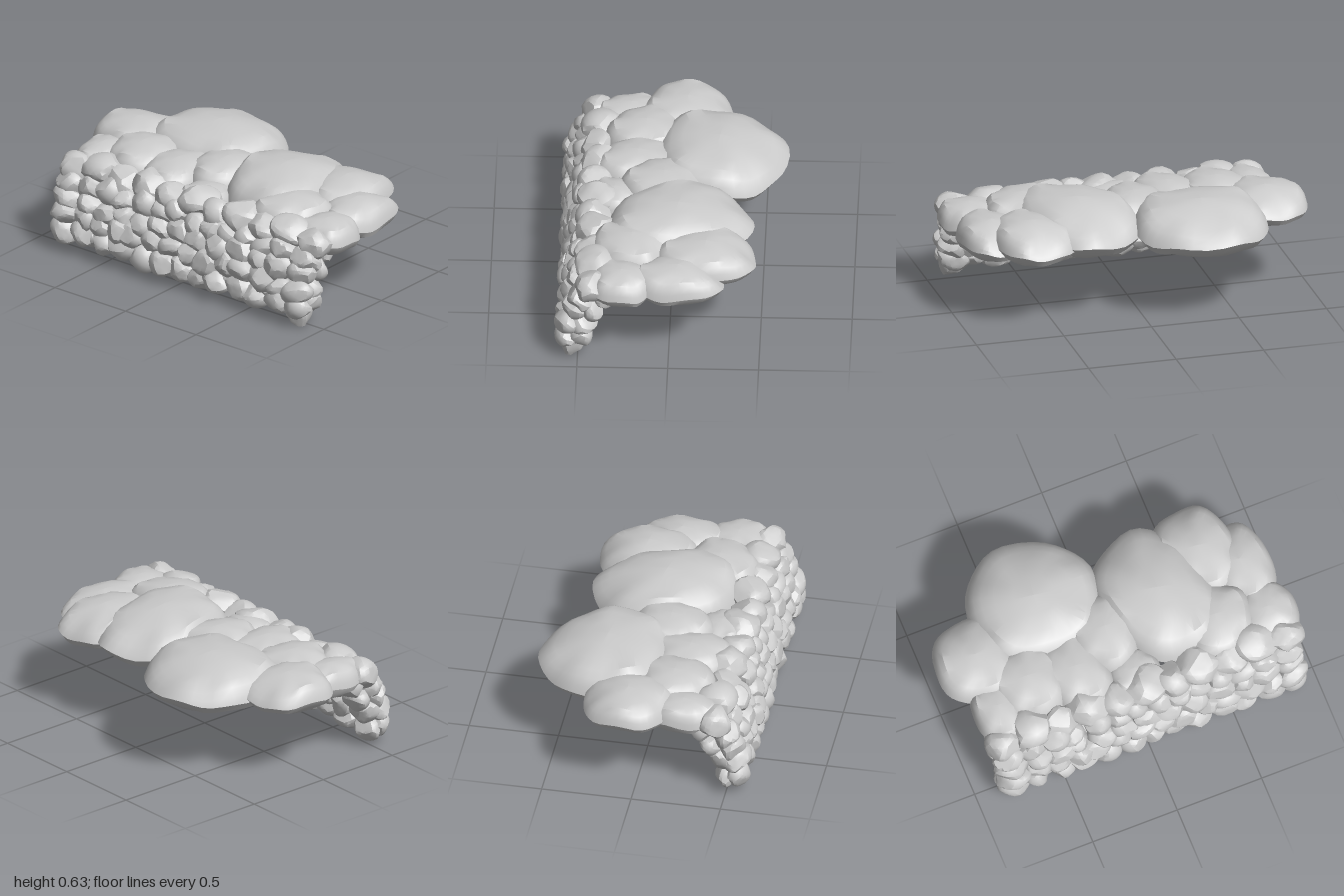
import * as THREE from 'three';
import { toCreasedNormals } from 'three/addons/utils/BufferGeometryUtils.js';

const material = new THREE.MeshStandardMaterial({ color: 0xcccccc });

let seed = 41;
function rnd(a, b) {
  seed = (seed * 16807) % 2147483647;
  return a + (b - a) * (seed / 2147483647);
}

// Boulder: a ball cut flat by random planes, then stretched to half sizes sx, sy, sz
function stone(name, x, y, z, sx, sy, sz) {
  const geo = new THREE.IcosahedronGeometry(1, 3);
  const planes = [];
  for (let i = 0; i < 11; i++) {
    planes.push([new THREE.Vector3(rnd(-1, 1), rnd(-1, 1), rnd(-1, 1)).normalize(), rnd(0.74, 0.9)]);
  }
  const p = geo.attributes.position, v = new THREE.Vector3();
  for (let i = 0; i < p.count; i++) {
    v.fromBufferAttribute(p, i).normalize();
    let r = 1;
    for (const [n, d] of planes) r = Math.min(r, d / Math.max(v.dot(n), 0.01));
    p.setXYZ(i, v.x * r * sx, v.y * r * sy, v.z * r * sz);
  }
  const mesh = new THREE.Mesh(toCreasedNormals(geo, 0.45), material);
  mesh.name = name;
  mesh.position.set(x, y, z);
  mesh.rotation.set(rnd(-0.4, 0.4), rnd(-0.2, 0.2), rnd(-0.15, 0.15));
  return mesh;
}

// Slab cross-section: [outline scale, height fraction] from underside to crown
const RIM = 0.36;
const SECTION = [
  [0.001, 0], [0.5, 0.02], [0.74, 0.07], [0.91, 0.19], [1, RIM], [0.96, 0.55],
  [0.88, 0.72], [0.77, 0.84], [0.58, 0.92], [0.3, 0.98], [0.001, 1],
];

// Flat slab: a turned, slightly lobed superellipse lofted through the section;
// outer slabs slope down towards their free +x edge
function slab(name, x, z, rx, rz, turn, y0, y1) {
  const N = 36, phase = rnd(0, 6), sag = x > 0 ? 0.65 : 0;
  const round = (t) => Math.sign(t) * Math.abs(t) ** 0.86;
  const pos = [], index = [];
  SECTION.forEach(([s, h], j) => {
    const wobble = j > 2 && j < 8 ? 0.07 : 0;
    for (let i = 0; i < N; i++) {
      const a = (i / N) * Math.PI * 2;
      const lobe = s * (1 + 0.02 * Math.sin(3 * a + phase) + 0.015 * Math.sin(5 * a + phase));
      const u = rx * lobe * round(Math.cos(a)), w = rz * lobe * round(Math.sin(a));
      const dx = u * Math.cos(turn) - w * Math.sin(turn);
      const k = wobble * (Math.sin(3 * a + phase) * 0.6 + Math.sin(7 * a + 2 * phase) * 0.4);
      const drop = Math.max(h - RIM, 0) * sag * Math.max(dx / rx, 0) ** 2;
      pos.push(x + dx, y0 + (y1 - y0) * (h + k - drop), z + u * Math.sin(turn) + w * Math.cos(turn));
      if (j < SECTION.length - 1) {
        const a0 = j * N + i, b0 = j * N + (i + 1) % N;
        index.push(a0, a0 + N, b0, b0, a0 + N, b0 + N);
      }
    }
  });
  const geo = new THREE.BufferGeometry();
  geo.setAttribute('position', new THREE.Float32BufferAttribute(pos, 3));
  geo.setIndex(index);
  const mesh = new THREE.Mesh(toCreasedNormals(geo, 0.5), material);
  mesh.name = name;
  return mesh;
}

// Slabs: name, centre x, centre z, half width, half depth, turn, bottom, top
const SLABS = [
  ['backSlab', 0.06, -0.77, 0.25, 0.23, 0.1, 0.41, 0.6],
  ['largeSlab', 0.25, -0.35, 0.365, 0.375, 0.15, 0.375, 0.635],
  ['middleSlab', 0.04, 0.3, 0.41, 0.31, -0.3, 0.37, 0.635],
  ['cornerSlab', 0.2, 0.6, 0.28, 0.22, -0.15, 0.38, 0.59],
  ['frontSlab', 0.05, 0.79, 0.26, 0.18, -0.08, 0.365, 0.56],
  ['gapSlab', -0.05, -0.05, 0.24, 0.2, 0.3, 0.39, 0.6],
  ['innerSlab', -0.2, -0.28, 0.24, 0.19, -0.2, 0.38, 0.58],
  ['innerSlab', -0.16, -0.55, 0.23, 0.21, -0.2, 0.38, 0.595],
  ['innerSlab', -0.25, -0.76, 0.2, 0.14, 0, 0.38, 0.56],
  ['innerSlab', -0.32, 0.02, 0.14, 0.15, 0, 0.38, 0.54],
  ['innerSlab', -0.21, 0.54, 0.23, 0.22, 0.3, 0.375, 0.595],
  ['innerSlab', -0.26, 0.83, 0.18, 0.17, 0, 0.37, 0.55],
];

// Wall courses: [y, outer face centre x, inner face centre x]
const COURSES = [[0.125, -0.55, -0.5], [0.215, -0.548, -0.475], [0.305, -0.52, -0.425],
  [0.39, -0.49, -0.355]];

export function createModel() {
  const model = new THREE.Group();

  // Overhanging slabs
  const roof = new THREE.Group();
  roof.name = 'overhang';
  for (const s of SLABS) roof.add(slab(...s));
  model.add(roof);

  // Leaning two-sided stone wall in rough, staggered courses
  const wall = new THREE.Group();
  wall.name = 'wall';
  COURSES.forEach(([y, outer, inner], row) => {
    for (const [x, shift] of [[outer, 0], [inner, 0.3]]) {
      const count = 13 + (row % 2);
      for (let i = 0; i < count; i++) {
        const jitter = i > 0 && i < count - 1 ? shift + rnd(-0.2, 0.2) : 0;
        const z = -0.86 + 1.78 * (i + 0.5 + jitter) / count;
        wall.add(stone('wallStone', x + rnd(-0.01, 0.01), y + rnd(-0.022, 0.022), z,
          rnd(0.07, 0.082), rnd(0.065, 0.09), rnd(0.08, 0.11)));
      }
    }
  });
  // Low stone at the front foot
  wall.add(stone('footStone', -0.535, 0.105, 0.85, 0.08, 0.115, 0.08));
  model.add(wall);

  // Edge stones capping the wall, alternately large and small
  const edge = new THREE.Group();
  edge.name = 'wallCap';
  for (let i = 0; i < 11; i++) {
    const big = i % 2;
    edge.add(stone('capStone', big ? -0.405 : -0.43, big ? 0.475 : 0.455, -0.8 + 0.167 * i,
      big ? 0.125 : 0.105, 0.09, big ? 0.14 : 0.11));
  }
  model.add(edge);

  return model;
}
